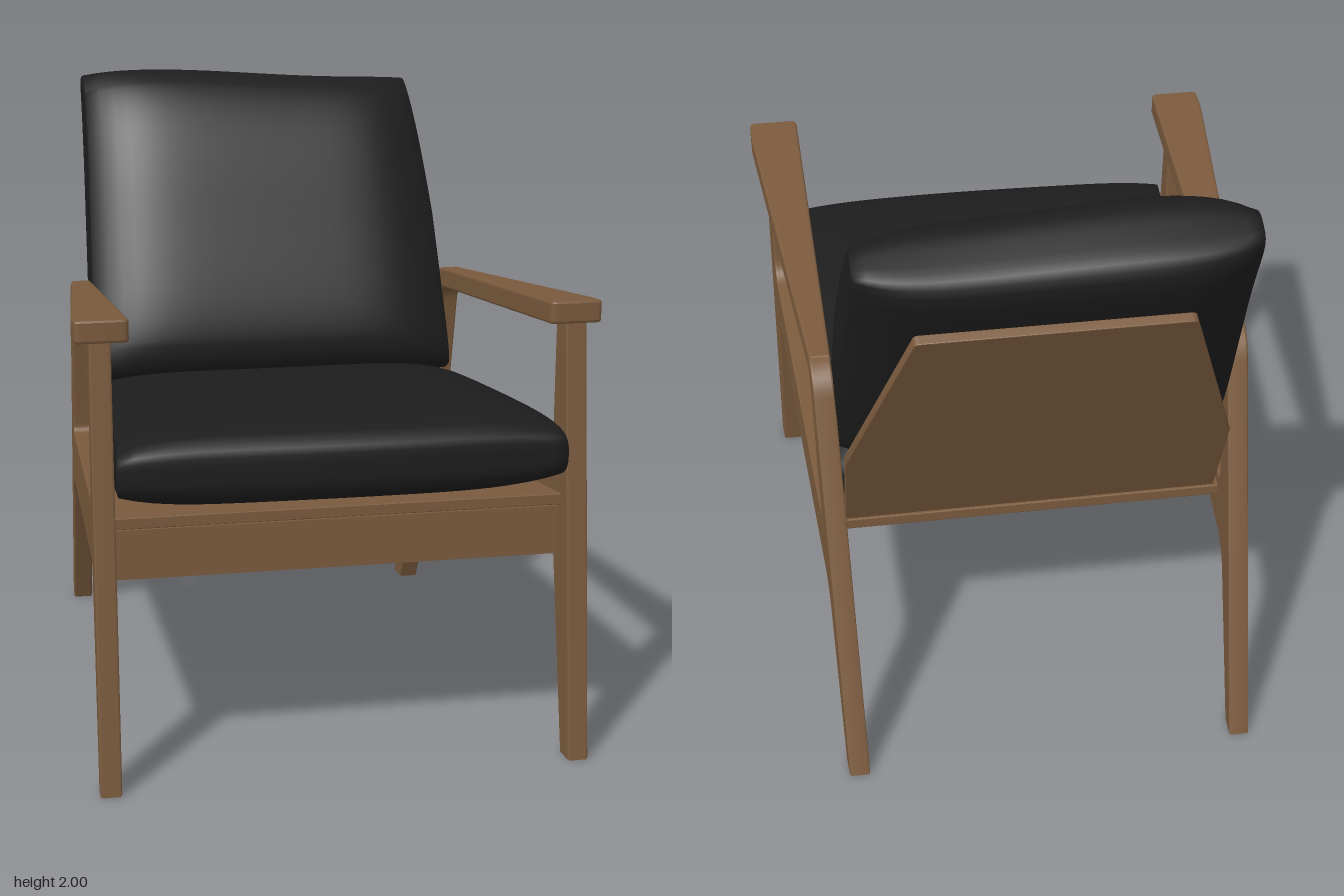
import * as THREE from 'three';
import { mergeVertices, toCreasedNormals } from 'three/addons/utils/BufferGeometryUtils.js';

const wood = new THREE.MeshStandardMaterial({ color: 0x7a5a3d });
wood.name = 'walnut wood';
const fabric = new THREE.MeshStandardMaterial({ color: 0x1d1d1d });
fabric.name = 'black fabric';

function add(parent, name, geometry, material) {
  const mesh = new THREE.Mesh(geometry, material);
  mesh.name = name;
  parent.add(mesh);
  return mesh;
}

// Moves every vertex through rule(v)
function warp(geometry, rule) {
  const pos = geometry.attributes.position;
  const v = new THREE.Vector3();
  for (let i = 0; i < pos.count; i++) {
    rule(v.fromBufferAttribute(pos, i));
    pos.setXYZ(i, v.x, v.y, v.z);
  }
  return geometry;
}

// Closed outline from [x, y, cornerRadius] points
function outline(points, path) {
  const n = points.length;
  points.forEach(([x, y, r = 0], i) => {
    const p = new THREE.Vector2(x, y);
    const toward = (q) => new THREE.Vector2(q[0], q[1]).sub(p).setLength(r).add(p);
    const a = r ? toward(points[(i + n - 1) % n]) : p;
    const b = r ? toward(points[(i + 1) % n]) : p;
    if (i === 0) path.moveTo(a.x, a.y);
    else path.lineTo(a.x, a.y);
    if (r) path.quadraticCurveTo(x, y, b.x, b.y);
  });
  path.closePath();
  return path;
}

// Extrusion with slightly eased edges, kept to its nominal size
function slab(shape, thickness, bevel = 0.006) {
  return new THREE.ExtrudeGeometry(shape, {
    depth: thickness - 2 * bevel, bevelEnabled: true, bevelThickness: bevel,
    bevelSize: bevel, bevelOffset: -bevel, bevelSegments: 2, curveSegments: 8,
  }).translate(0, 0, bevel);
}

const crisp = (geometry) => toCreasedNormals(geometry, 0.35);

// Plate drawn in plan as [x, z, r], following the sloping underside y = base + slope * z
function slopedPlate(points, thickness, base, slope, bevel) {
  const shape = outline(points.map(([x, z, r]) => [x, -z, r]), new THREE.Shape());
  const g = slab(shape, thickness, bevel).rotateX(-Math.PI / 2);
  return crisp(warp(g, (v) => { v.y += base + slope * v.z; }));
}

// Side frame: legs, rail and bent arm support in one piece, toeing in to the rear
function sideFrame(side) {
  const flip = ([z, y, r]) => [-z, y, r];
  const shape = outline([
    [0.963, 0], [0.828, 1.43], [-0.473, 1.306, 0.09], [-0.932, 0],
    [-0.855, 0], [-0.6, 0.543, 0.08], [0.766, 0.683, 0.06], [0.89, 0],
  ].map(flip), new THREE.Shape());
  shape.holes.push(outline([
    [0.75, 1.376], [0.745, 0.868, 0.08], [-0.507, 0.743, 0.04], [-0.4, 1.25, 0.06],
  ].map(flip), new THREE.Path()));
  const g = slab(shape, 0.066).translate(0, 0, -0.033).rotateY(Math.PI / 2);
  return crisp(warp(g, (v) => { v.x += side * (0.682 + 0.053 * v.z); }));
}

// Soft cushion: u runs across, v along, w through the thickness, each -1..1
function cushion(power, pinch, place) {
  const g = new THREE.BoxGeometry(2, 2, 2, 28, 28, 12);
  g.deleteAttribute('uv');
  g.deleteAttribute('normal');
  warp(g, (p) => {
    const v = Math.abs(p.y), w = Math.abs(p.z);
    const norm = Math.pow(v ** power + w ** power, 1 / power);
    const k = norm > 0 ? Math.max(v, w) / norm : 1;
    p.y *= k;
    p.z *= k * (1 - pinch * p.x ** 6);
    p.x *= 1 - 0.04 * p.z * p.z;
    place(p, p.x, p.y, p.z);
  });
  const smooth = mergeVertices(g, 1e-5);
  smooth.computeVertexNormals();
  return smooth;
}

export function createModel() {
  const chair = new THREE.Group();
  chair.name = 'lounge chair';

  // Frames and tapered armrests
  for (const side of [1, -1]) {
    const label = side > 0 ? 'left' : 'right';
    add(chair, label + 'SideFrame', sideFrame(side), wood);
    const plan = [
      [0.64, 0.848, 0.02], [0.803, 0.848, 0.02], [0.803, 0.76, 0.02],
      [0.692, -0.41], [0.626, -0.41],
    ].map(([x, z, r]) => [side * x, z, r]);
    add(chair, label + 'Armrest', slopedPlate(plan, 0.07, 1.287, 0.105, 0.008), wood);
  }

  // Seat board and front rail
  add(chair, 'seatBoard', slopedPlate(
    [[-0.7, 0.83], [0.7, 0.83], [0.635, -0.48], [-0.635, -0.48]], 0.036, 0.716, 0.1, 0.003), wood);
  add(chair, 'frontRail', new THREE.BoxGeometry(1.4, 0.155, 0.045), wood)
    .position.set(0, 0.713, 0.79);

  // Tilted back panel with narrowed top
  const panel = outline([
    [-0.61, 0], [0.61, 0], [0.61, 0.41], [0.41, 1.12, 0.015], [-0.41, 1.12, 0.015], [-0.61, 0.41],
  ], new THREE.Shape());
  const backPanel = add(chair, 'backPanel', crisp(slab(panel, 0.032, 0.003)), wood);
  backPanel.position.set(0, 0.68, -0.459);
  backPanel.rotation.x = -0.429;

  // Seat cushion: slopes down to the rear and narrows with the frame
  add(chair, 'seatCushion', cushion(4.5, 0.3, (p, u, v, w) => {
    const z = 0.22 - 0.69 * v;
    const ripple = 0.008 * Math.sin(3 * u + 1) * v * v;
    const middle = 0.9 + 0.09 * z;
    p.set(u * (0.65 + 0.045 * z), middle + w * (0.134 + 0.01 * (1 - v * v)), z + ripple);
  }), fabric);

  // Back cushion: leans back, its top edge rolling over and sagging to one side
  add(chair, 'backCushion', cushion(4.5, 0.5, (p, u, v, w) => {
    const upper = Math.max(0, v);
    const sag = -0.01 * (1 + v) * Math.sin(2.2 * u);
    const along = 0.035 + 0.553 * v + sag;
    const out = 0.19 * w * (1 - 0.1 * upper ** 2) - 0.025 - 0.055 * upper ** 3 + 0.4 * sag * w;
    p.set(u * (0.618 - 0.018 * v - 0.025 * upper * Math.max(0, u)),
      1.45 + 0.907 * along + 0.42 * out,
      -0.53 - 0.42 * along + 0.907 * out);
  }), fabric);

  return chair;
}
